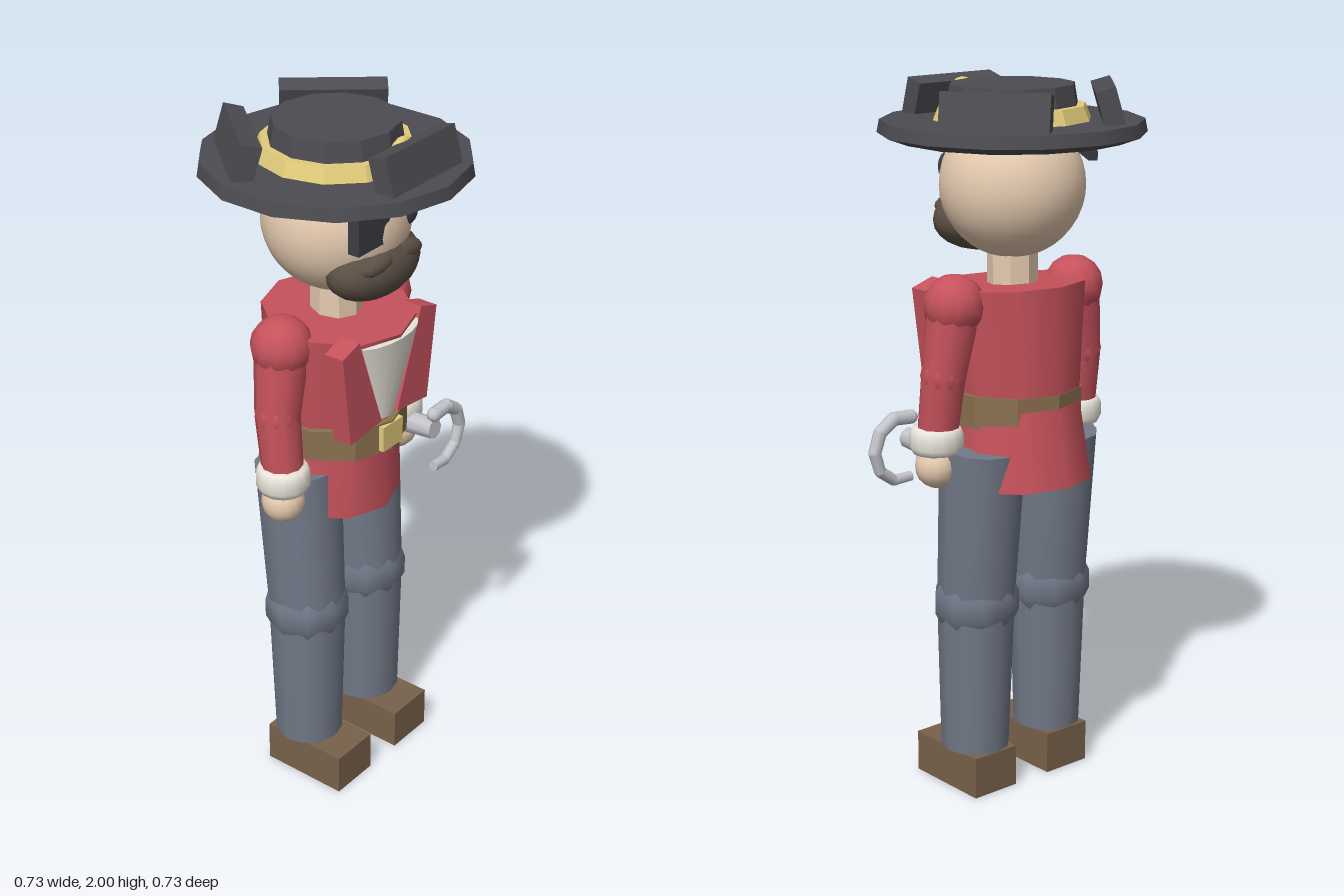
import * as THREE from 'three';

const mat = (color, flatShading = false) =>
  new THREE.MeshStandardMaterial({ color, flatShading, side: THREE.DoubleSide });
const red = mat(0xc6525c), skin = mat(0xe6cbb0), felt = mat(0x4c4c52), feltFlat = mat(0x4c4c52, true),
  gold = mat(0xe2cb7a, true), belt = mat(0x8a7050, true), boot = mat(0x78614a, true), cloth = mat(0x717887),
  white = mat(0xe8e4da), hair = mat(0x5c5046), steel = mat(0xc4c6cc), patch = mat(0x3c3e46);
const CX = -0.01; // middle line of head, hat and body

export function createModel() {
  const model = new THREE.Group();
  model.name = 'hatedSailor';

  const add = (name, geometry, material, x, y, z, parent = model) => {
    const mesh = new THREE.Mesh(geometry, material);
    mesh.name = name;
    mesh.position.set(x, y, z);
    parent.add(mesh);
    return mesh;
  };
  const box = (name, m, w, h, d, x, y, z, parent) =>
    add(name, new THREE.BoxGeometry(w, h, d), m, x, y, z, parent);
  const tube = (name, m, rTop, rBottom, h, sides, x, y, z, parent) =>
    add(name, new THREE.CylinderGeometry(rTop, rBottom, h, sides), m, x, y, z, parent);
  const ball = (name, m, rx, ry, rz, x, y, z, ws = 20, hs = 14) => {
    const mesh = add(name, new THREE.SphereGeometry(1, ws, hs), m, x, y, z);
    mesh.scale.set(rx, ry, rz);
    return mesh;
  };
  // Tapered limb between two points, a at the top
  const limb = (name, m, a, b, ra, rb, sides) => {
    const top = new THREE.Vector3(...a), bottom = new THREE.Vector3(...b);
    const mid = top.clone().add(bottom).multiplyScalar(0.5);
    const mesh = tube(name, m, ra, rb, top.distanceTo(bottom), sides, mid.x, mid.y, mid.z);
    mesh.quaternion.setFromUnitVectors(new THREE.Vector3(0, 1, 0), top.sub(bottom).normalize());
    return mesh;
  };

  // Hat: brim, crown, band, emblem and three turned-up panels
  const hat = new THREE.Group();
  hat.name = 'hat';
  hat.position.x = CX;
  model.add(hat);
  tube('brimUnderside', felt, 0.365, 0.31, 0.02, 14, 0, 1.855, 0, hat);
  tube('brim', felt, 0.358, 0.365, 0.035, 14, 0, 1.8825, 0, hat);
  tube('crown', feltFlat, 0.17, 0.192, 0.13, 12, 0, 1.93, 0, hat);
  tube('hatBand', gold, 0.2, 0.22, 0.05, 12, 0, 1.915, 0, hat);
  const emblem = add('hatEmblem', new THREE.SphereGeometry(0.047, 10, 8), gold, 0, 1.948, 0.212, hat);
  emblem.scale.z = 0.5;
  for (const angle of [0, 130, -130]) {
    const side = new THREE.Group();
    side.name = 'hatPanel';
    side.rotation.y = THREE.MathUtils.degToRad(angle);
    hat.add(side);
    box('panel', feltFlat, 0.29, 0.145, 0.055, 0, 1.922, 0.262, side).rotation.x = -0.28;
  }

  // Head and face
  ball('head', skin, 0.2, 0.2, 0.2, CX, 1.725, 0, 32, 20);
  ball('eye', patch, 0.032, 0.042, 0.02, 0.07, 1.76, 0.178, 12, 8);
  box('eyePatch', patch, 0.13, 0.115, 0.035, -0.095, 1.768, 0.175);
  const strap = box('patchStrap', patch, 0.025, 0.025, 0.23, -0.145, 1.83, -0.12);
  strap.rotation.order = 'YXZ';
  strap.rotation.set(-0.13, -0.41, 0);
  ball('beard', hair, 0.162, 0.093, 0.1, CX, 1.622, 0.122, 18, 12);
  for (const s of [-1, 1])
    ball('moustache', hair, 0.068, 0.028, 0.03, CX + s * 0.056, 1.657, 0.183, 10, 8).rotation.z = -s * 0.12;
  tube('neck', mat(0xe6cbb0, true), 0.07, 0.07, 0.16, 8, CX, 1.49, 0);

  // Coat and shirt
  tube('coatBody', red, 0.21, 0.178, 0.35, 10, CX, 1.28, -0.003).rotation.x = 0.07;
  const skirt = tube('coatSkirt', red, 0.182, 0.205, 0.22, 10, CX, 1.01, -0.022);
  skirt.rotation.x = 0.07;
  const shirt = tube('shirt', white, 0.125, 0.035, 0.25, 16, CX, 1.305, 0.168);
  shirt.scale.z = 0.45;
  for (const s of [-1, 1]) {
    const outline = new THREE.Shape([[0.205, 1.435], [0.135, 1.458], [0.035, 1.18], [0.17, 1.165]]
      .map(([x, y]) => new THREE.Vector2(s * x, y)));
    add('lapel', new THREE.ExtrudeGeometry(outline, { depth: 0.06, bevelEnabled: false }),
      mat(0xc6525c, true), CX, 0, 0.125);
  }

  // Belt
  tube('belt', belt, 0.196, 0.196, 0.09, 10, CX, 1.125, 0);
  box('buckle', gold, 0.086, 0.075, 0.03, CX, 1.127, 0.183);

  // Arms
  for (const s of [-1, 1]) {
    const x = (v) => CX + s * v;
    ball('shoulder', red, 0.085, 0.085, 0.085, x(0.215), 1.42, -0.012, 12, 8);
    limb('upperArm', red, [x(0.215), 1.42, -0.012], [x(0.247), 1.23, -0.003], 0.075, 0.062, 10);
    ball('elbow', red, 0.063, 0.063, 0.063, x(0.247), 1.23, -0.003, 10, 8);
    limb('forearm', red, [x(0.247), 1.23, -0.003], [x(0.253), 1.06, 0.018], 0.062, 0.057, 10);
    const cuffProfile = [[0.05, 1.01], [0.066, 1.012], [0.075, 1.03], [0.075, 1.063], [0.066, 1.083], [0.045, 1.086]];
    add('cuff', new THREE.LatheGeometry(cuffProfile.map((p) => new THREE.Vector2(...p)), 14),
      white, x(0.255), 0, 0.02);
    ball('hand', skin, 0.06, 0.062, 0.06, x(0.256), 0.973, 0.02, 14, 10);
  }

  // Hook held in the left hand: a stem and a chain of rounded segments
  limb('hookStem', steel, [0.232, 1.012, 0.04], [0.232, 1.02, 0.165], 0.034, 0.03, 8);
  const N = 6, at = (i) => {
    const a = THREE.MathUtils.degToRad(112 - i * 37);
    return [0.252 + 0.092 * Math.cos(a), 0.99 + 0.092 * Math.sin(a), 0.17];
  };
  for (let i = 0; i < N; i++) {
    const r = 0.021 - i * 0.001;
    limb('hookSegment', steel, at(i), at(i + 1), r, r - 0.001, 8);
    ball('hookJoint', steel, r, r, r, ...at(i), 8, 6);
  }

  // Legs, knees and boots
  for (const s of [-1, 1]) {
    const x = (v) => CX + s * v;
    limb('thigh', cloth, [x(0.132), 1.018, -0.03], [x(0.134), 0.56, 0], 0.122, 0.111, 12);
    ball('knee', cloth, 0.125, 0.125, 0.122, x(0.134), 0.56, 0, 9, 7);
    limb('shin', cloth, [x(0.134), 0.56, 0], [x(0.136), 0.125, 0.005], 0.111, 0.098, 12);
    box('boot', boot, 0.15, 0.12, 0.264, x(0.135), 0.06, 0.045);
  }
  return model;
}
